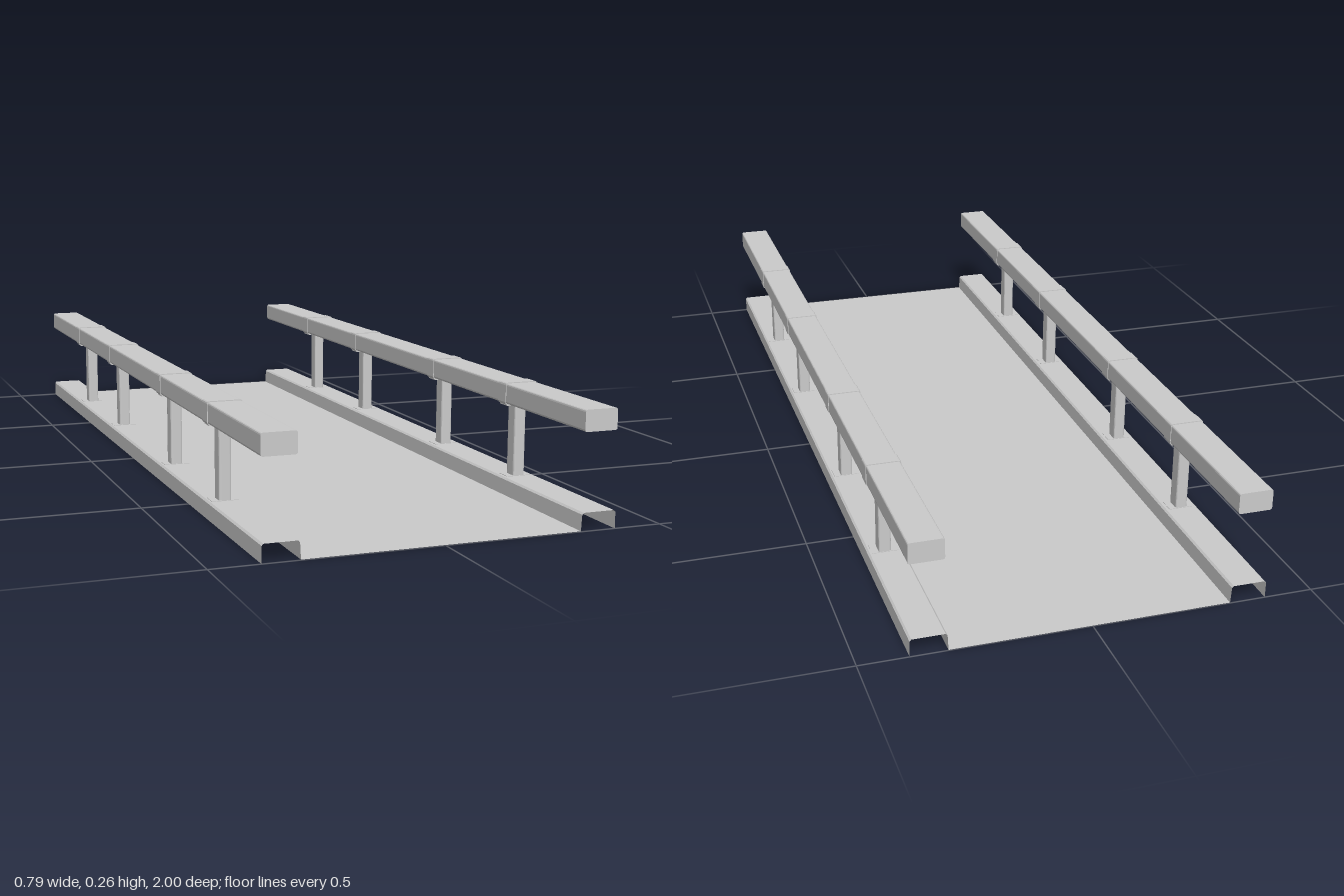
import * as THREE from 'three';

const material = new THREE.MeshStandardMaterial({ color: 0xcccccc });
const sheetMaterial = new THREE.MeshStandardMaterial({ color: 0xcccccc, side: THREE.DoubleSide, flatShading: true });

// Rounded bar with a w x h section, centred, running along z
function roundedBar(w, h, length, r) {
  const x = w / 2, y = h / 2;
  const s = new THREE.Shape();
  s.moveTo(-x + r, -y);
  s.lineTo(x - r, -y);
  s.quadraticCurveTo(x, -y, x, -y + r);
  s.lineTo(x, y - r);
  s.quadraticCurveTo(x, y, x - r, y);
  s.lineTo(-x + r, y);
  s.quadraticCurveTo(-x, y, -x, y - r);
  s.lineTo(-x, -y + r);
  s.quadraticCurveTo(-x, -y, -x + r, -y);
  const g = new THREE.ExtrudeGeometry(s, { depth: length, bevelEnabled: false, curveSegments: 3 });
  return g.translate(0, 0, -length / 2);
}

// Thin sheet following an x-y profile, running along z
function foldedSheet(profile, length) {
  const pos = [], index = [];
  profile.forEach(([x, y], i) => {
    pos.push(x, y, length / 2, x, y, -length / 2);
    if (i) {
      const a = 2 * i - 2;
      index.push(a, a + 2, a + 1, a + 1, a + 2, a + 3);
    }
  });
  const g = new THREE.BufferGeometry();
  g.setAttribute('position', new THREE.Float32BufferAttribute(pos, 3));
  g.setIndex(index);
  const flat = g.toNonIndexed();
  flat.computeVertexNormals();
  return flat;
}

export function createModel() {
  const root = new THREE.Group();
  root.name = 'railedWalkway';

  const add = (parent, name, geometry, x, y, z, mat = material) => {
    const mesh = new THREE.Mesh(geometry, mat);
    mesh.name = name;
    mesh.position.set(x, y, z);
    parent.add(mesh);
    return mesh;
  };

  // Deck folded up at both sides into open channel kerbs
  const half = [[0.31, 0.001], [0.312, 0.036], [0.316, 0.04], [0.387, 0.04], [0.391, 0.036], [0.391, 0]];
  const mirrored = half.map(([x, y]) => [-x, y]).reverse();
  add(root, 'deckAndKerbs', foldedSheet([...mirrored, ...half], 2), 0, 0, 0, sheetMaterial);

  // Shared railing parts
  const railGeo = roundedBar(0.076, 0.047, 1.99, 0.005);
  const sleeveGeo = roundedBar(0.079, 0.051, 0.035, 0.006);
  const postGeo = roundedBar(0.028, 0.035, 0.174, 0.005).rotateX(Math.PI / 2);
  const footGeo = new THREE.BoxGeometry(0.06, 0.002, 0.037);
  const saddleGeo = new THREE.BoxGeometry(0.07, 0.003, 0.035);

  for (const side of [1, -1]) {
    const railing = new THREE.Group();
    railing.name = side > 0 ? 'leftRailing' : 'rightRailing';
    root.add(railing);
    const x = side * 0.353;
    add(railing, 'handrail', railGeo, x, 0.233, 0);
    // Posts with feet, saddles and sleeves round the handrail
    for (const z of [0.635, 0.255, -0.255, -0.635]) {
      add(railing, 'post', postGeo, x, 0.123, z);
      add(railing, 'postFoot', footGeo, x, 0.04, z);
      add(railing, 'railSaddle', saddleGeo, x, 0.2065, z);
      add(railing, 'railSleeve', sleeveGeo, x, 0.233, z);
    }
  }
  return root;
}
